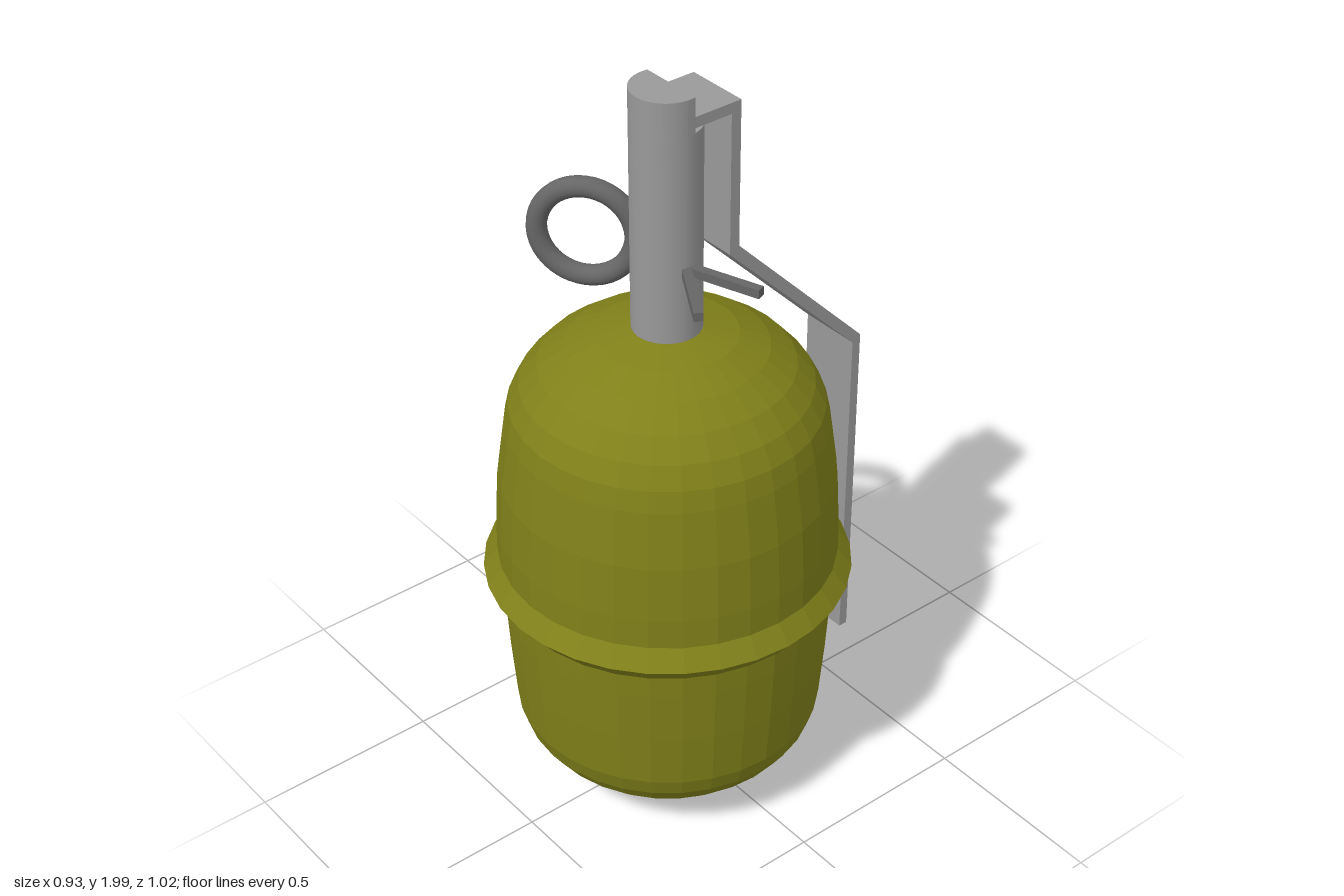
import * as THREE from 'three';
import { toCreasedNormals } from 'three/addons/utils/BufferGeometryUtils.js';

const AXIS_Z = 0.045; // the body axis sits slightly in front of the centre
const STEM_R = 0.087;

const olive = new THREE.MeshStandardMaterial({ color: 0x80801a, flatShading: true });
const steel = new THREE.MeshStandardMaterial({ color: 0x999999 });
const darkSteel = new THREE.MeshStandardMaterial({ color: 0x666666 });

function add(parent, name, geometry, material, x = 0, y = 0, z = 0) {
  const mesh = new THREE.Mesh(geometry, material);
  mesh.name = name;
  mesh.position.set(x, y, z);
  parent.add(mesh);
  return mesh;
}

const lathe = (points) =>
  new THREE.LatheGeometry(points.map(([r, y]) => new THREE.Vector2(r, y)), 32);

// Upright extrusion of a plan shape (shape y points to -z)
function upright(shape, depth) {
  const g = new THREE.ExtrudeGeometry(shape, { depth, bevelEnabled: false, curveSegments: 24 });
  g.rotateX(-Math.PI / 2);
  return toCreasedNormals(g, 0.6);
}

// Circle segment cut flat at the back; with an inner radius it becomes an open wall
function capShape(outer, inner) {
  const s = new THREE.Shape();
  const a = Math.asin(0.015 / outer);
  s.absarc(0, 0, outer, Math.PI - a, 2 * Math.PI + a, false);
  if (inner) {
    const b = Math.asin(0.015 / inner);
    s.absarc(0, 0, inner, 2 * Math.PI + b, Math.PI - b, true);
  }
  return s;
}

export function createModel() {
  const model = new THREE.Group();
  model.name = 'grenade';

  // Egg-shaped body in two shells, with a ridge at the seam
  add(model, 'lowerShell', lathe([
    [0, 0.01], [0.08, 0.014], [0.16, 0.033], [0.235, 0.064], [0.3, 0.105],
    [0.35, 0.155], [0.38, 0.2], [0.395, 0.25], [0.407, 0.4], [0.416, 0.55], [0.42, 0.64],
  ]), olive, 0, 0, AXIS_Z);
  add(model, 'upperShell', lathe([
    [0.43, 0.7], [0.429, 0.8], [0.421, 0.95], [0.4, 1.1], [0.388, 1.155], [0.36, 1.21],
    [0.315, 1.262], [0.25, 1.31], [0.175, 1.345], [0.09, 1.365], [0, 1.368],
  ]), olive, 0, 0, AXIS_Z);
  add(model, 'seamRidge', lathe([
    [0.4, 0.62], [0.425, 0.62], [0.466, 0.67], [0.43, 0.72], [0.4, 0.72],
  ]), olive, 0, 0, AXIS_Z);

  // Fuse stem with a hollow cap that is open towards the lever
  add(model, 'fuseStem', new THREE.CylinderGeometry(STEM_R, STEM_R, 0.61, 32),
    steel, 0, 1.605, AXIS_Z);
  add(model, 'capWall', upright(capShape(STEM_R, 0.07), 0.06), steel, 0, 1.91, AXIS_Z);
  add(model, 'capTop', upright(capShape(STEM_R), 0.03), steel, 0, 1.97, AXIS_Z);
  add(model, 'striker', new THREE.CylinderGeometry(0.014, 0.014, 0.06, 12),
    steel, 0, 1.94, AXIS_Z + 0.015);

  // Bent safety lever: side profile (z, y) extruded across its width
  const width = 0.17;
  const profile = new THREE.Shape([
    [0.035, 1.95], [-0.105, 1.95], [-0.105, 1.565], [-0.51, 1.15], [-0.51, 0.21],
    [-0.485, 0.21], [-0.485, 1.135], [-0.077, 1.55], [-0.077, 1.922], [0.035, 1.922],
  ].map(([z, y]) => new THREE.Vector2(-z, y)));
  const lever = new THREE.ExtrudeGeometry(profile, { depth: width, bevelEnabled: false });
  lever.translate(0, 0, -width / 2).rotateY(Math.PI / 2);
  add(model, 'safetyLever', lever, steel);

  // Pull ring on one side of the stem
  const ring = add(model, 'pullRing', new THREE.TorusGeometry(0.121, 0.026, 14, 40),
    darkSteel, -0.208, 1.555, 0.124);
  ring.rotation.y = 0.67;

  // Split pin ends on the other side
  const pin = new THREE.Group();
  pin.name = 'splitPin';
  model.add(pin);
  for (const [x, z] of [[0.262, -0.022], [0.252, 0.155]]) {
    const from = new THREE.Vector2(0.07, AXIS_Z);
    const dx = x - from.x, dz = z - from.y;
    const leg = add(pin, 'pinLeg', new THREE.BoxGeometry(Math.hypot(dx, dz), 0.023, 0.023),
      darkSteel, from.x + dx / 2, 1.555, from.y + dz / 2);
    leg.rotation.y = -Math.atan2(dz, dx);
  }
  return model;
}
